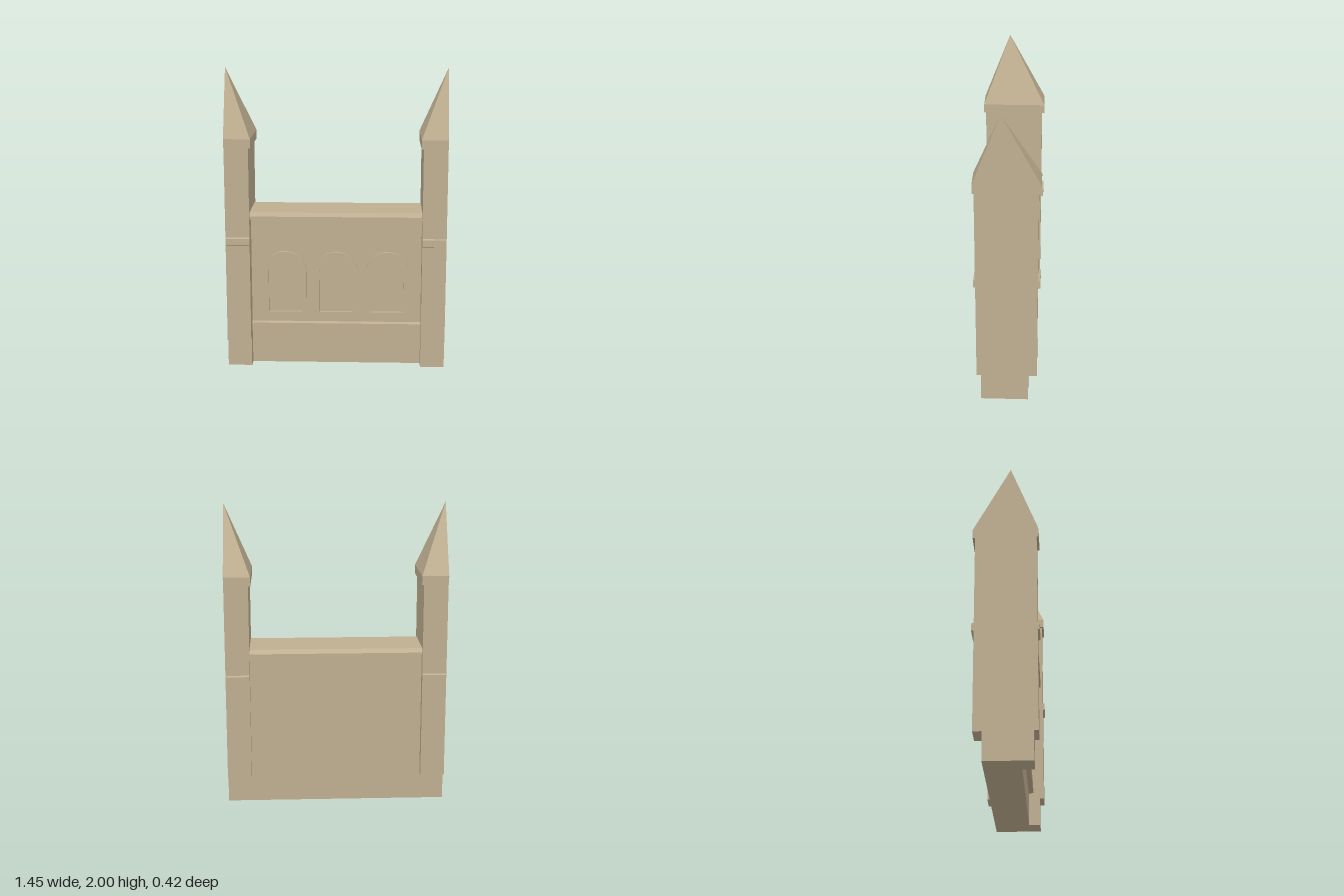
import * as THREE from 'three';
import { ConvexGeometry } from 'three/addons/geometries/ConvexGeometry.js';

export function createModel() {
  const model = new THREE.Group();
  model.name = 'gatedWall';
  const stone = new THREE.MeshStandardMaterial({ color: 0xbfaf91 });
  stone.name = 'sandstone';

  const add = (parent, name, geometry) => {
    const mesh = new THREE.Mesh(geometry, stone);
    mesh.name = name;
    parent.add(mesh);
    return mesh;
  };

  // Box given by its limits on each axis
  const block = (parent, name, x0, x1, y0, y1, z0, z1) => {
    const mesh = add(parent, name, new THREE.BoxGeometry(x1 - x0, y1 - y0, z1 - z0));
    mesh.position.set((x0 + x1) / 2, (y0 + y1) / 2, (z0 + z1) / 2);
    return mesh;
  };

  // Moulding: a [z, y] profile run along x, centred on cx
  const moulding = (parent, name, profile, width, cx = 0) => {
    const shape = new THREE.Shape(profile.map(([z, y]) => new THREE.Vector2(z, y)));
    const geometry = new THREE.ExtrudeGeometry(shape, { depth: width, bevelEnabled: false });
    geometry.translate(0, 0, -width / 2).rotateY(-Math.PI / 2);
    add(parent, name, geometry).position.x = cx;
  };

  const inner = 0.568, outer = 0.727;
  const wallFront = 0.095, wallBack = -0.135;

  // Wall between the towers
  block(model, 'wall', -inner, inner, 0, 1.016, wallBack, wallFront);
  moulding(model, 'coping', [
    [-0.18, 1.016], [0.185, 1.016], [0.185, 1.036],
    [0.165, 1.06], [-0.155, 1.06], [-0.18, 1.036],
  ], inner * 2);
  moulding(model, 'stringCourse', [
    [wallFront - 0.01, 0.221], [wallFront, 0.221], [0.125, 0.227],
    [0.125, 0.286], [wallFront, 0.292], [wallFront - 0.01, 0.292],
  ], inner * 2);

  // Blind arches: raised frames around a round-headed opening
  const archPath = (path, half, bottom, spring) => {
    path.moveTo(-half, bottom);
    path.lineTo(half, bottom);
    path.lineTo(half, spring);
    path.absarc(0, spring, half, 0, Math.PI, false);
    path.lineTo(-half, bottom);
    return path;
  };
  const archShape = archPath(new THREE.Shape(), 0.144, 0.331, 0.636);
  archShape.holes.push(archPath(new THREE.Path(), 0.111, 0.364, 0.636));
  const archGeometry = new THREE.ExtrudeGeometry(archShape, {
    depth: 0.02, bevelEnabled: false, curveSegments: 20,
  });
  for (const x of [-0.342, 0, 0.342]) {
    add(model, 'archFrame', archGeometry).position.set(x, 0, wallFront);
  }

  // Towers, mirrored left and right
  for (const s of [1, -1]) {
    const tower = new THREE.Group();
    tower.name = s > 0 ? 'leftTower' : 'rightTower';
    model.add(tower);
    const span = (a, b) => (s > 0 ? [a, b] : [-b, -a]);

    block(tower, 'towerBase', ...span(inner, outer), 0, 0.185, wallBack, 0.17);
    block(tower, 'towerShaft', ...span(inner, outer), 0.185, 1.495, -0.192, 0.198);

    // Bands on the front and back faces only
    const bandWidth = outer - inner - 0.004;
    const bandX = s * (inner + outer - 0.004) / 2;
    moulding(tower, 'frontBand', [
      [0.19, 0.84], [0.198, 0.84], [0.21, 0.845], [0.21, 0.89], [0.198, 0.896], [0.19, 0.896],
    ], bandWidth, bandX);
    moulding(tower, 'backBand', [
      [-0.18, 0.896], [-0.192, 0.896], [-0.208, 0.89], [-0.208, 0.845], [-0.192, 0.84], [-0.18, 0.84],
    ], bandWidth, bandX);

    // Cap and spire, flush with the outer face
    block(tower, 'cap', ...span(0.553, outer), 1.493, 1.552, -0.208, 0.21);
    const spire = [
      [0.553, 1.552, -0.208], [outer, 1.552, -0.208],
      [outer, 1.552, 0.21], [0.553, 1.552, 0.21], [outer, 2, 0.035],
    ].map(([x, y, z]) => new THREE.Vector3(s * x, y, z));
    add(tower, 'spire', new ConvexGeometry(spire));
  }
  return model;
}
